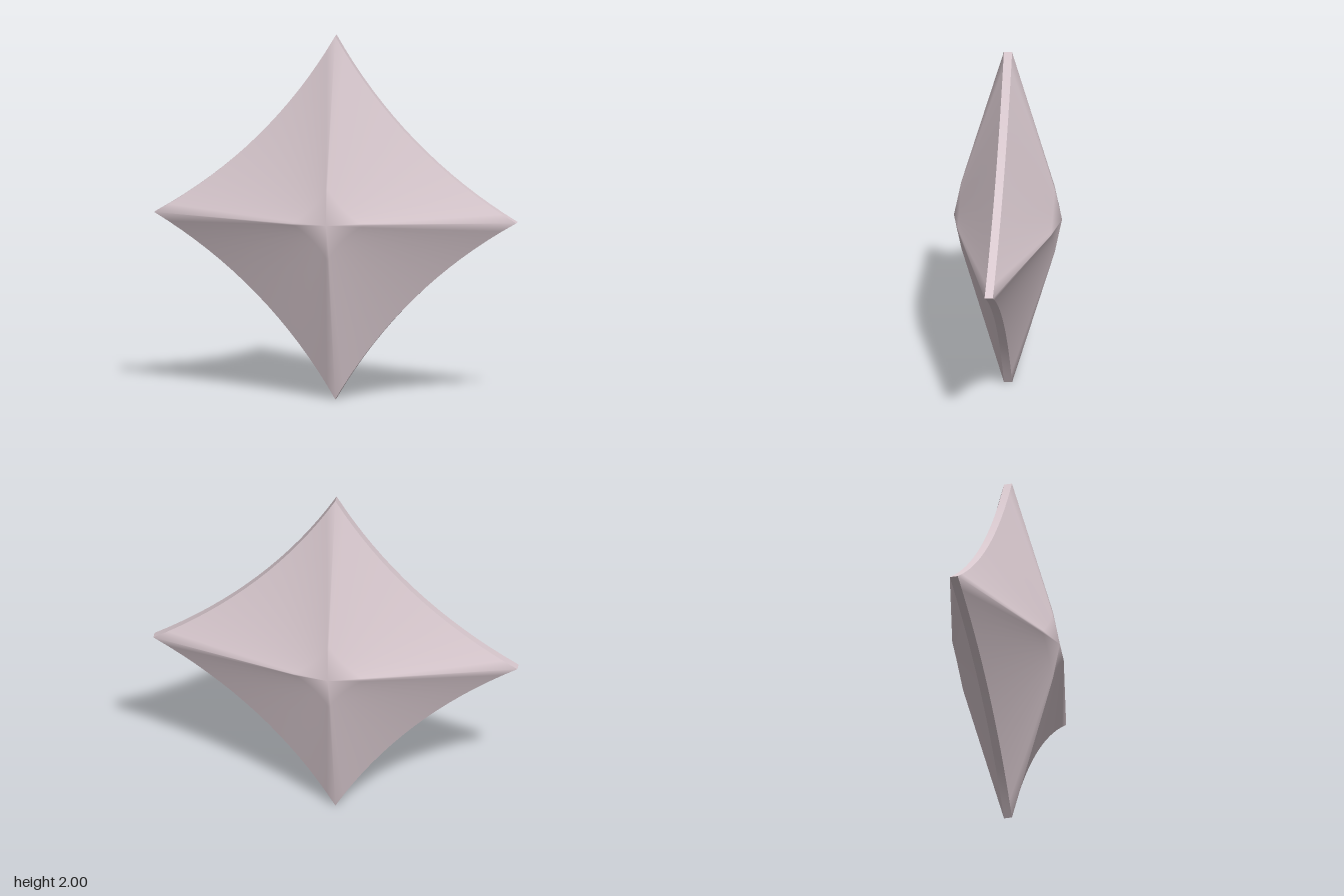
import * as THREE from 'three';

const SEGMENTS = 16; // per quarter of the outline
const RIM = 0.0225; // half thickness at the edge
const RINGS = [[1, RIM], [0.2, 0.255]]; // outline scale, height
const PEAK = 0.295;

// Concave arc between two neighbouring tips, turned into each quarter
function quarterArc(quarter) {
  const curve = new THREE.QuadraticBezierCurve(
    new THREE.Vector2(1, 0), new THREE.Vector2(0.367, 0.367), new THREE.Vector2(0, 1));
  const turn = quarter * Math.PI / 2;
  return curve.getPoints(SEGMENTS).map(p => p.rotateAround(new THREE.Vector2(), turn));
}

function makeGeometry(positions, indices) {
  const geometry = new THREE.BufferGeometry();
  geometry.setAttribute('position', new THREE.Float32BufferAttribute(positions, 3));
  geometry.setIndex(indices);
  geometry.computeVertexNormals();
  return geometry;
}

// Domed face: scaled copies of the outline rising to a central peak
function domeGeometry() {
  const outline = [0, 1, 2, 3].flatMap(q => quarterArc(q).slice(0, -1));
  const n = outline.length;
  const positions = [];
  const indices = [];
  for (const [scale, z] of RINGS) {
    for (const p of outline) positions.push(p.x * scale, p.y * scale, z);
  }
  positions.push(0, 0, PEAK);
  for (let i = 0; i < n; i++) {
    const j = (i + 1) % n;
    indices.push(i, j, n + j, i, n + j, n + i);
    indices.push(n + i, n + j, 2 * n);
  }
  return makeGeometry(positions, indices);
}

// Narrow band along one concave side
function rimGeometry() {
  const positions = [];
  const indices = [];
  quarterArc(0).forEach((p, i) => {
    positions.push(p.x, p.y, -RIM, p.x, p.y, RIM);
    if (i < SEGMENTS) {
      const a = 2 * i;
      indices.push(a, a + 2, a + 3, a, a + 3, a + 1);
    }
  });
  return makeGeometry(positions, indices);
}

export function createModel() {
  const model = new THREE.Group();
  model.name = 'fourPointStar';
  const palePink = new THREE.MeshStandardMaterial({ color: 0xd8c8ce });
  palePink.name = 'palePink';

  function add(name, geometry) {
    const mesh = new THREE.Mesh(geometry, palePink);
    mesh.name = name;
    mesh.position.y = 1;
    model.add(mesh);
    return mesh;
  }

  // Front and back domes
  const dome = domeGeometry();
  add('frontDome', dome);
  add('backDome', dome).rotation.y = Math.PI;

  // Four edge bands, kept separate so the tips stay sharp
  const rim = rimGeometry();
  for (let q = 0; q < 4; q++) add(`rim${q + 1}`, rim).rotation.z = q * Math.PI / 2;

  return model;
}
